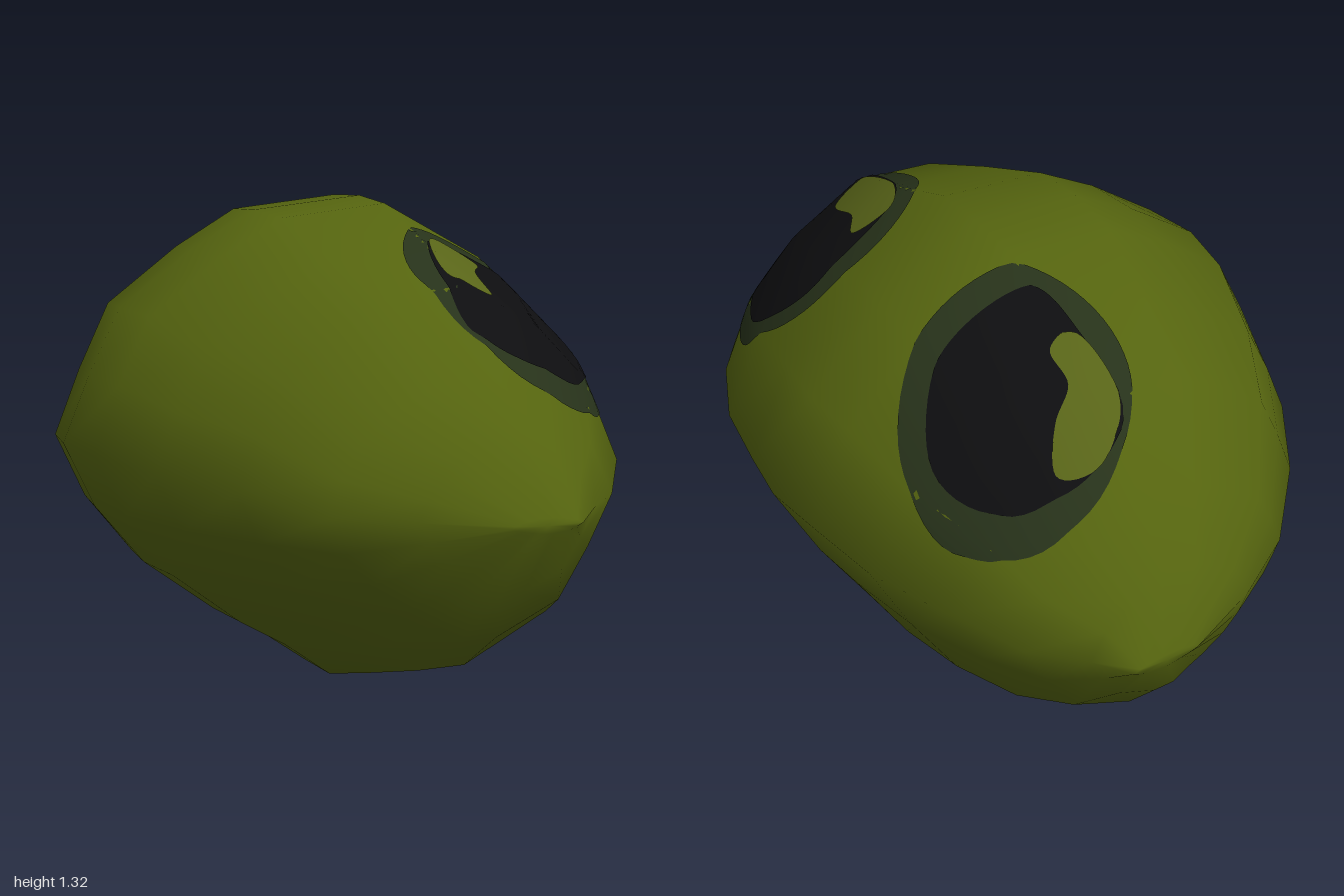
import * as THREE from 'three';

const material = (name, color) => Object.assign(new THREE.MeshStandardMaterial({ color }), { name });

// Head outline in x, y; every slice along z is this outline fitted to its own box
const OUTLINE = [
  [-0.06, 0], [0.13, 0], [0.47, 0.16], [0.63, 0.42], [0.76, 0.68], [0.63, 0.95], [0.41, 1.16],
  [0.11, 1.32], [-0.21, 1.29], [-0.39, 1.19], [-0.6, 1.04], [-0.69, 0.86],
  [-0.765, 0.68], [-0.68, 0.5], [-0.54, 0.33], [-0.34, 0.18], [-0.2, 0.1],
];
// Slice boxes: z, xMin, xMax, yMin, yMax
const HALF = [
  [0, -0.765, 0.76, 0, 1.32], [0.17, -0.735, 0.735, 0, 1.31], [0.4, -0.65, 0.69, 0.06, 1.22],
  [0.62, -0.51, 0.59, 0.12, 1.13], [0.8, -0.34, 0.47, 0.24, 0.92],
  [0.92, -0.145, 0.35, 0.385, 0.78], [1, 0.07, 0.27, 0.55, 0.59],
];

function headGeometry() {
  const slices = [...HALF.slice(1).reverse().map(([z, ...box]) => [-z, ...box]), ...HALF];
  const n = OUTLINE.length, pos = [], index = [];
  for (const [z, x0, x1, y0, y1] of slices) {
    for (const [x, y] of OUTLINE) {
      pos.push(x0 + (x + 0.765) / 1.525 * (x1 - x0), y0 + y / 1.32 * (y1 - y0), z);
    }
  }
  for (let i = 0; i < slices.length - 1; i++) {
    for (let j = 0; j < n; j++) {
      const a = i * n + j, b = i * n + (j + 1) % n;
      index.push(a, b, a + n, b, b + n, a + n);
    }
  }
  // Close both narrow ends
  const last = (slices.length - 1) * n, cap = pos.length / 3;
  pos.push(0.17, 0.57, -1, 0.17, 0.57, 1);
  for (let j = 0; j < n; j++) {
    const k = (j + 1) % n;
    index.push(cap, k, j, cap + 1, last + j, last + k);
  }
  const geo = new THREE.BufferGeometry();
  geo.setAttribute('position', new THREE.Float32BufferAttribute(pos, 3));
  geo.setIndex(index);
  geo.computeVertexNormals();
  return geo;
}

// Slanted ellipse seen from above, clockwise
function ellipse([cx, cz], rx, rz, slant) {
  return Array.from({ length: 16 }, (_, i) => {
    const a = i / 16 * Math.PI * 2, dx = -Math.cos(a) * rx;
    return [cx + dx, cz - Math.sin(a) * rz - slant * dx];
  });
}

// Thin patch laid on the head: a smooth x, z outline filled with rings and dropped onto the surface
function patch(head, points, [cx, cz], lift, mat, name) {
  const curve = new THREE.CatmullRomCurve3(points.map(([x, z]) => new THREE.Vector3(x, 0, z)), true);
  const rings = 14, segs = 56, edge = curve.getPoints(segs);
  const ray = new THREE.Raycaster(), down = new THREE.Vector3(0, -1, 0);
  const pos = [], nor = [], index = [];
  for (let r = 0; r <= rings; r++) {
    for (let s = 0; s < segs; s++) {
      const t = r / rings;
      ray.set(new THREE.Vector3(cx + (edge[s].x - cx) * t, 3, cz + (edge[s].z - cz) * t), down);
      const hit = ray.intersectObject(head)[0];
      const p = hit.point.addScaledVector(hit.normal, lift);
      pos.push(p.x, p.y, p.z);
      nor.push(hit.normal.x, hit.normal.y, hit.normal.z);
      if (r < rings) {
        const a = r * segs + s, b = r * segs + (s + 1) % segs;
        index.push(a, b, a + segs, b, b + segs, a + segs);
      }
    }
  }
  const geo = new THREE.BufferGeometry();
  geo.setAttribute('position', new THREE.Float32BufferAttribute(pos, 3));
  geo.setAttribute('normal', new THREE.Float32BufferAttribute(nor, 3));
  geo.setIndex(index);
  const mesh = new THREE.Mesh(geo, mat);
  mesh.name = name;
  return mesh;
}

// Eye shapes seen from above (x, z); the rim is an ellipse of radii rx, rz
const LEFT_EYE = {
  name: 'leftEye', centre: [0.3, 0.495], rx: 0.28, rz: 0.28, slant: 0.15, glint: [0.17, 0.4],
  pupil: [[0.08, 0.58], [0.15, 0.36], [0.3, 0.3], [0.46, 0.31], [0.55, 0.46], [0.44, 0.66], [0.25, 0.73], [0.1, 0.71]],
  shine: [[0.11, 0.59], [0.12, 0.42], [0.19, 0.32], [0.29, 0.35], [0.24, 0.45], [0.22, 0.58]],
};
const RIGHT_EYE = {
  name: 'rightEye', centre: [0.277, -0.445], rx: 0.295, rz: 0.305, slant: 0, glint: [0.13, -0.62],
  pupil: [[0.07, -0.42], [0.09, -0.66], [0.25, -0.7], [0.43, -0.63], [0.51, -0.43], [0.4, -0.26], [0.24, -0.23], [0.1, -0.28]],
  shine: [[0.08, -0.43], [0.08, -0.63], [0.18, -0.7], [0.29, -0.66], [0.24, -0.58], [0.17, -0.53], [0.16, -0.43]],
};

export function createModel() {
  const green = material('olive green', 0x55640f);
  const dark = material('dark green', 0x27321a);
  const black = material('black', 0x0e0e10);
  const pale = material('soft olive', 0x586418);

  const model = new THREE.Group();
  model.name = 'creatureHead';
  const head = new THREE.Mesh(headGeometry(), green);
  head.name = 'head';
  model.add(head);

  // Eyes: rim, pupil and shine stacked as thin layers
  for (const { name, centre, rx, rz, slant, glint, pupil, shine } of [LEFT_EYE, RIGHT_EYE]) {
    const eye = new THREE.Group();
    eye.name = name;
    eye.add(
      patch(head, ellipse(centre, rx, rz, slant), centre, 0.003, dark, 'eyeRim'),
      patch(head, pupil, centre, 0.006, black, 'pupil'),
      patch(head, shine, glint, 0.009, pale, 'eyeShine'),
    );
    model.add(eye);
  }
  return model;
}
